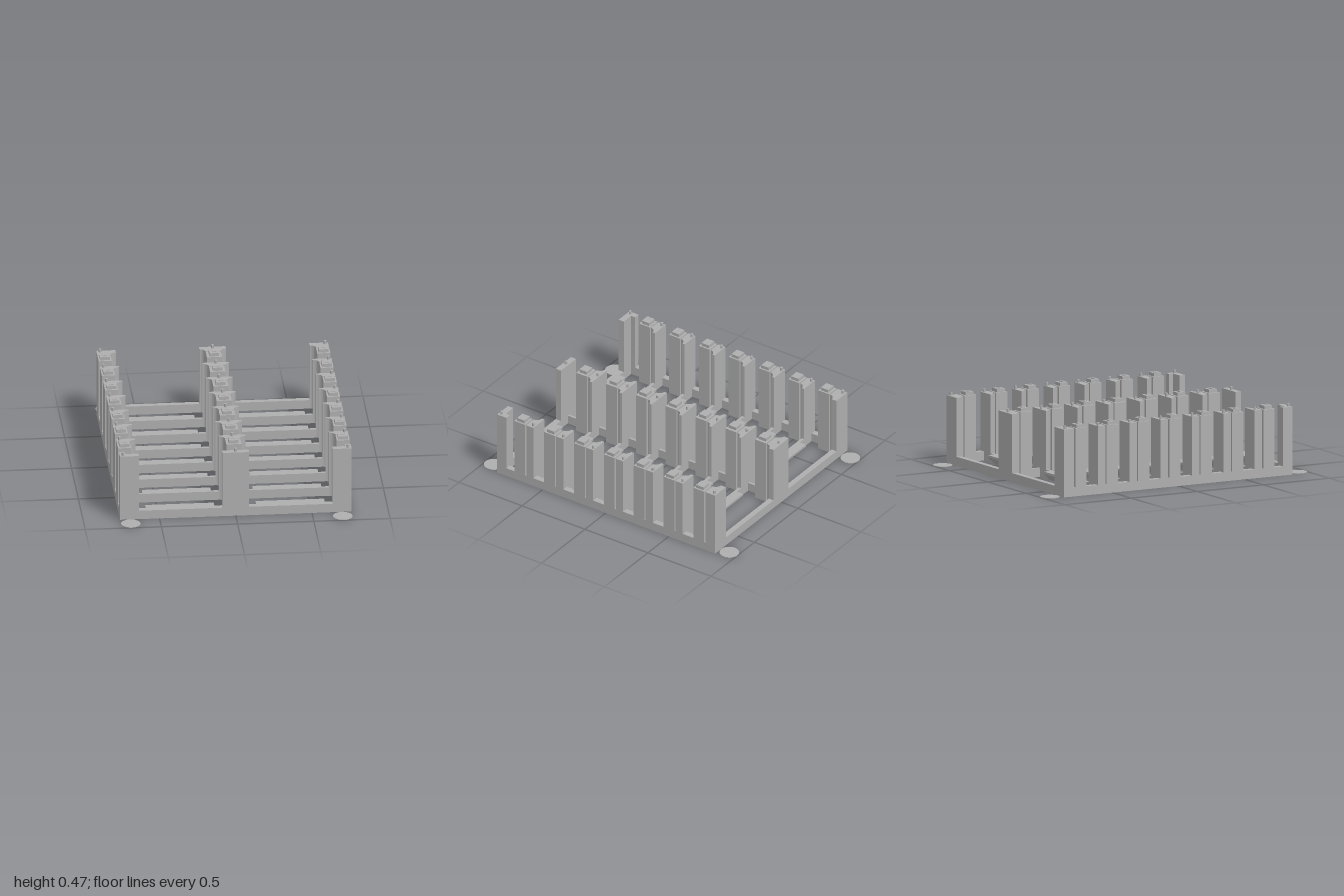
import * as THREE from 'three';

const H = 0.45, BASE = 0.06, STEP = 0.237;

export function createModel() {
  const model = new THREE.Group();
  model.name = 'stackingRack';
  const grey = new THREE.MeshStandardMaterial({ color: 0xaeaeae });
  grey.name = 'grey plastic';

  const add = (name, geometry) => {
    const mesh = new THREE.Mesh(geometry, grey);
    mesh.name = name;
    model.add(mesh);
    return mesh;
  };
  const box = (name, x0, x1, y0, y1, z0, z1) =>
    add(name, new THREE.BoxGeometry(x1 - x0, y1 - y0, z1 - z0)
      .translate((x0 + x1) / 2, (y0 + y1) / 2, (z0 + z1) / 2));

  // Upright prism from an [x, z] outline, with an optional round hole
  const prism = (name, outline, y0, y1, hole) => {
    const shape = new THREE.Shape(outline.map(([x, z]) => new THREE.Vector2(x, -z)));
    if (hole) {
      const path = new THREE.Path();
      path.absarc(hole.x, -hole.z, hole.r, 0, Math.PI * 2, true);
      shape.holes.push(path);
    }
    const geometry = new THREE.ExtrudeGeometry(shape, { depth: y1 - y0, bevelEnabled: false, curveSegments: 10 });
    return add(name, geometry.rotateX(-Math.PI / 2).translate(0, y0, 0));
  };
  const rect = (x0, x1, z0, z1) => [[x0, z0], [x1, z0], [x1, z1], [x0, z1]];

  // Concave fillet from the rail's front face to the side of a post
  const fillet = (side, xRail, xPost, zRail, zPost) => {
    const points = [];
    for (let i = 0; i <= 6; i++) {
      const a = (i / 6) * Math.PI / 2;
      points.push([side * (xRail - (xRail - xPost) * Math.sin(a)), zPost - (zPost - zRail) * Math.cos(a)]);
    }
    return points;
  };

  // Rails: thick at both ends, thin in between
  const rails = [{ z0: -0.867, t: 0.038, end: -0.79 }];
  for (let i = 0; i < 6; i++) {
    const z0 = -0.61 + i * STEP;
    rails.push({ z0, t: 0.02, end: z0 + 0.057 });
  }
  rails.push({ z0: 0.822, t: 0.041, end: 0.863 });

  rails.forEach(({ z0, t, end }, i) => {
    const last = i === rails.length - 1;
    box('crossRail', -0.755, 0.755, 0, BASE, z0, z0 + t);
    const pinZ = i === 0 ? -0.847 : last ? 0.842 : z0 + 0.014;

    // Rail posts on both sides and in the middle
    for (const s of [-1, 1]) {
      const outline = last
        ? [[s * 0.76, 0.79], [s * 0.72, 0.79], [s * 0.72, z0], [s * 0.635, z0], [s * 0.635, end], [s * 0.76, end]]
        : [[s * 0.76, z0], [s * 0.635, z0], ...fillet(s, 0.635, 0.675, z0 + t, end), [s * 0.76, end]];
      prism('sideRailPost', outline, 0, H);
    }
    const middle = last
      ? rect(-0.087, 0.087, z0, end)
      : [[-0.087, z0], [0.087, z0], ...fillet(1, 0.087, 0.05, z0 + t, end),
        ...fillet(-1, 0.087, 0.05, z0 + t, end).reverse()];
    prism('middleRailPost', middle, 0, H);

    // Locating pins
    for (const x of [-0.738, 0, 0.738]) {
      add('locatingPin', new THREE.CylinderGeometry(0.009, 0.009, 0.022, 16).translate(x, H + 0.011, pinZ));
    }

    // Sloped support ledges behind every rail but the first
    if (i > 0) {
      for (const s of [-1, 1]) {
        const section = new THREE.Shape([[0, 0], [0.048, 0.045], [0.048, BASE], [0, BASE]]
          .map(([b, y]) => new THREE.Vector2(b, y)));
        const geometry = new THREE.ExtrudeGeometry(section, { depth: 0.45, bevelEnabled: false });
        geometry.rotateY(Math.PI / 2).translate(s * 0.362 - 0.225, 0, z0);
        add('slopedLedge', geometry);
      }
    }
  });

  // Socket posts: recess underneath, hole right through, square collar on top
  for (let i = 0; i < 7; i++) {
    const z = -0.738 + i * STEP;
    for (const s of [-1, 0, 1]) {
      const x = s * 0.717;
      const half = s ? 0.043 : 0.05;
      const outline = rect(x - half, x + half, z - 0.043, z + 0.043);
      prism('socketPostFoot', outline, 0, 0.03, { x, z, r: 0.034 });
      prism('socketPost', outline, 0.03, H, { x, z, r: 0.016 });
      prism('socketCollar', rect(x - 0.032, x + 0.032, z - 0.029, z + 0.029), H, 0.472, { x, z, r: 0.016 });
    }
  }

  // Low walls joining the posts lengthwise, between the sockets
  for (let i = 0; i < 7; i++) {
    const z = -0.738 + i * STEP;
    const spans = [[rails[i].end, z - 0.043], [z + 0.043, i === 6 ? 0.822 : rails[i + 1].z0]];
    for (const [a, b] of spans) {
      box('sideWall', -0.76, -0.72, 0, BASE, a, b);
      box('sideWall', 0.72, 0.76, 0, BASE, a, b);
      box('middleWall', -0.008, 0.008, 0, BASE, a, b);
    }
  }

  // Thin round pads at the corners
  for (const sx of [-1, 1]) {
    for (const sz of [-1, 1]) {
      add('cornerPad', new THREE.CylinderGeometry(0.064, 0.064, 0.004, 40).translate(sx * 0.695, 0.002, sz * 0.936));
    }
  }
  return model;
}
